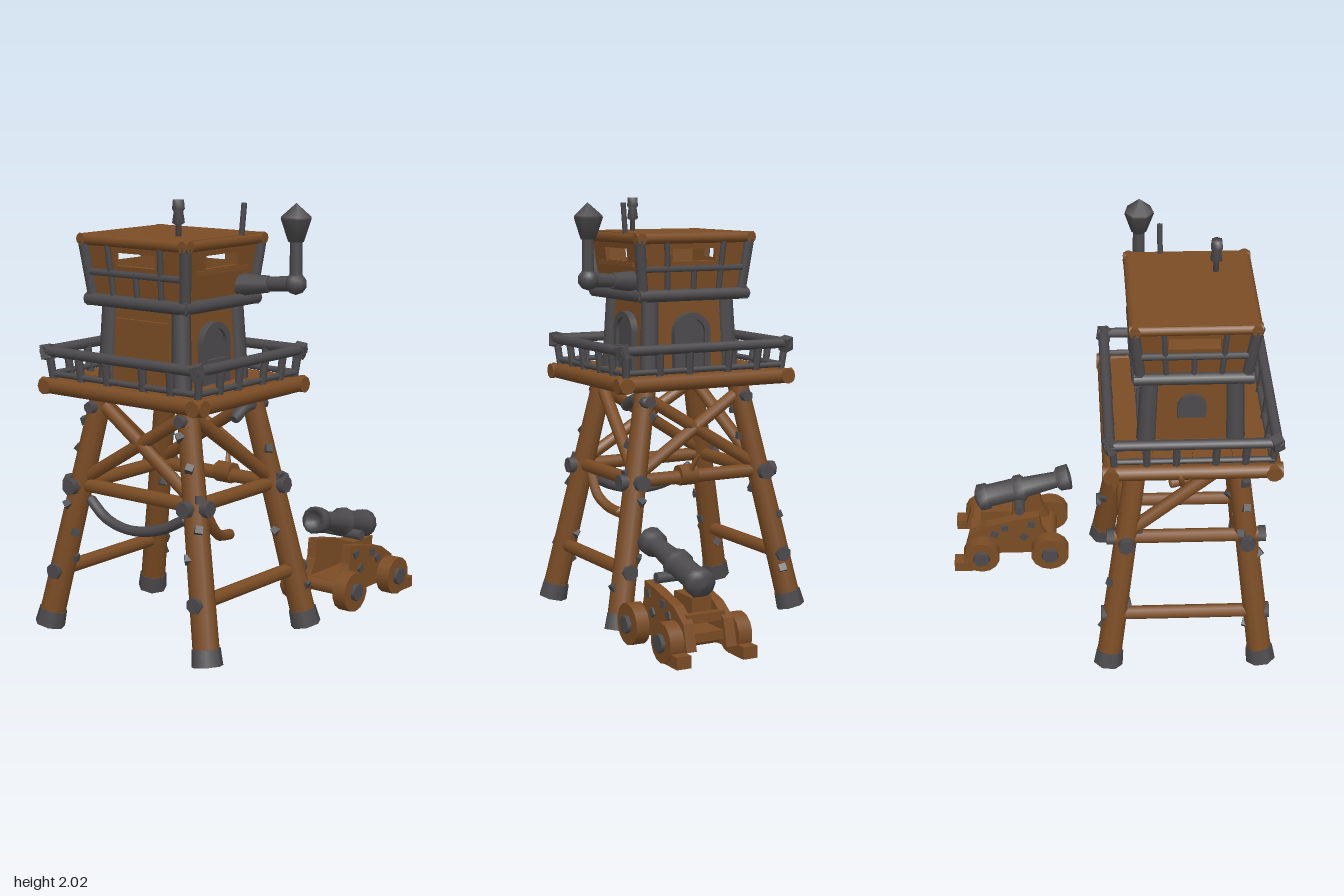
import * as THREE from 'three';

const wood = new THREE.MeshStandardMaterial({ color: 0x7a4c24 });
wood.name = 'brownWood';
const iron = new THREE.MeshStandardMaterial({ color: 0x4c4a4c });
iron.name = 'darkIron';

const V = (x, y, z) => new THREE.Vector3(x, y, z);
const UP = V(0, 1, 0);

function add(parent, name, geo, mat, x = 0, y = 0, z = 0) {
  const m = new THREE.Mesh(geo, mat);
  m.name = name;
  m.position.set(x, y, z);
  parent.add(m);
  return m;
}
const box = (parent, name, mat, w, h, d, x, y, z) => add(parent, name, new THREE.BoxGeometry(w, h, d), mat, x, y, z);

// Round bar from a to b
function beam(parent, name, mat, a, b, r0, r1 = r0, sides = 9) {
  const d = b.clone().sub(a);
  const m = add(parent, name, new THREE.CylinderGeometry(r1, r0, d.length(), sides), mat);
  m.position.copy(a).addScaledVector(d, 0.5);
  m.quaternion.setFromUnitVectors(UP, d.normalize());
  return m;
}
function tube(parent, name, mat, pts, r) {
  const c = new THREE.CatmullRomCurve3(pts.map(p => V(...p)));
  add(parent, name, new THREE.TubeGeometry(c, 14, r, 8), mat);
  const ends = [[0, -1], [1, 1]];
  for (const [t, s] of ends) {
    const p = c.getPoint(t), dir = c.getTangent(t).multiplyScalar(s * 0.01);
    beam(parent, name + 'End', mat, p, p.clone().add(dir), r, r * 0.7, 8);
  }
}
// Four groups facing +z, +x, -z, -x around a centre
function sides(parent, cx, cz, fn) {
  for (let i = 0; i < 4; i++) {
    const g = new THREE.Group();
    g.name = ['front', 'left', 'back', 'right'][i] + 'Side';
    g.position.set(cx, 0, cz);
    g.rotation.y = i * Math.PI / 2;
    parent.add(g);
    fn(g, i);
  }
}
// Leaning wall with an optional window [halfWidth, y0, y1]
function wall(parent, name, y0, y1, w0, w1, d0, d1, win) {
  const h = y1 - y0;
  const s = new THREE.Shape([[-w0, 0], [w0, 0], [w1, h], [-w1, h]].map(p => new THREE.Vector2(...p)));
  if (win) {
    const [w, a, b] = win;
    s.holes.push(new THREE.Path([[-w, a], [-w, b], [w, b], [w, a]].map(p => new THREE.Vector2(...p))));
  }
  const geo = new THREE.ExtrudeGeometry(s, { depth: 0.02, bevelEnabled: false }).translate(0, 0, -0.02);
  const m = add(parent, name, geo, wood, 0, y0, d0);
  m.rotation.x = Math.atan2(d1 - d0, h);
  return m;
}
function archShape(w, h) {
  const s = new THREE.Shape();
  s.moveTo(-w, 0).lineTo(w, 0).lineTo(w, h - w);
  s.absarc(0, h - w, w, 0, Math.PI, false);
  return s.lineTo(-w, 0);
}

function buildFrame(tower) {
  const leg = (sx, sz, y) => {
    const t = y / 1.12;
    return V(-0.355 + sx * (0.37 - 0.145 * t), y, -0.03 + sz * (0.475 - 0.225 * t));
  };
  let seed = 7;
  const rnd = () => (seed = (seed * 16807) % 2147483647) / 2147483647;
  for (const sx of [-1, 1]) for (const sz of [-1, 1]) {
    beam(tower, 'leg', wood, leg(sx, sz, 0.04), leg(sx, sz, 1.13), 0.06, 0.05, 10);
    beam(tower, 'foot', iron, leg(sx, sz, 0), leg(sx, sz, 0.075), 0.072, 0.066, 7);
    // iron studs on the legs
    for (let k = 0; k < 7; k++) {
      const p = leg(sx, sz, 0.2 + 0.13 * k), a = rnd() * 6.28;
      const b = box(tower, 'legStud', iron, 0.035, 0.035, 0.035, p.x + Math.cos(a) * 0.05, p.y, p.z + Math.sin(a) * 0.05);
      b.rotation.set(rnd(), -a, rnd());
    }
  }
  // Tie beam between two legs, running past them into iron caps
  const tie = (a, b, ext, r) => {
    const d = b.clone().sub(a).normalize();
    const a2 = a.clone().addScaledVector(d, -ext), b2 = b.clone().addScaledVector(d, ext);
    beam(tower, 'tieBeam', wood, a2, b2, r);
    for (const [p, s] of [[a2, 1], [b2, -1]])
      beam(tower, 'tieCap', iron, p.clone().addScaledVector(d, -s * 0.006), p.clone().addScaledVector(d, s * 0.03), r + 0.006, r + 0.006, 7);
  };
  for (const s of [-1, 1]) {
    tie(leg(-1, s, 0.68), leg(1, s, 0.68), 0.085, 0.033);
    tie(leg(s, -1, 0.68), leg(s, 1, 0.68), 0.08, 0.033);
    tie(leg(-1, s, 0.27), leg(1, s, 0.27), 0.06, 0.033);
    // crossed braces on the sides, one brace at front and back
    beam(tower, 'brace', wood, leg(s, 1, 1.07), leg(s, -1, 0.7), 0.03);
    beam(tower, 'brace', wood, leg(s, -1, 1.07), leg(s, 1, 0.7), 0.03);
    beam(tower, 'brace', wood, leg(-1, s, 1.08), leg(1, s, 0.7), 0.032);
    for (const q of [-1, 1]) {
      const p = leg(s, q, 1.05);
      beam(tower, 'braceBolt', iron, p.clone().add(V(-s * 0.02, 0, 0)), p.clone().add(V(s * 0.075, 0, 0)), 0.033, 0.028, 7);
    }
  }
  // Loose pieces: bent plank, hanging hose, bent strap, rope wrap, broken stub
  tube(tower, 'brokenBrace', wood, [[-0.57, 0.66, 0.3], [-0.5, 0.55, 0.3], [-0.43, 0.5, 0.28], [-0.33, 0.48, 0.26]], 0.025);
  tube(tower, 'hangingHose', iron, [[-0.66, 0.62, 0.27], [-0.67, 0.55, 0.13], [-0.67, 0.52, -0.05], [-0.66, 0.55, -0.2], [-0.65, 0.62, -0.3]], 0.024);
  tube(tower, 'bentStrap', iron, [[-0.28, 1.01, 0.25], [-0.2, 1.05, 0.25], [-0.06, 1.05, 0.25]], 0.027);
  beam(tower, 'beamWrap', wood, V(-0.07, 0.69, 0.08), V(-0.07, 0.69, -0.01), 0.05);
  beam(tower, 'brokenPeg', wood, V(-0.05, 0.7, 0.03), V(-0.01, 0.79, 0.0), 0.018, 0.008, 6);
  tube(tower, 'brokenStub', wood, [[-0.3, 1.15, -0.46], [-0.31, 1.14, -0.5], [-0.32, 1.08, -0.48]], 0.014);
}

function buildPlatform(tower) {
  box(tower, 'deck', wood, 0.76, 0.05, 0.89, -0.365, 1.14, -0.035);
  for (let i = 0; i < 4; i++) box(tower, 'deckPlank', wood, 0.17, 0.012, 0.86, -0.635 + i * 0.18, 1.168, -0.035);
  sides(tower, -0.365, -0.035, (g, i) => {
    const d = i % 2 ? 0.365 : 0.435, w = i % 2 ? 0.435 : 0.365;
    beam(g, 'deckEdge', wood, V(-w - 0.04, 1.145, d), V(w + 0.04, 1.145, d), 0.037);
    beam(g, 'topRail', iron, V(-w - 0.03, 1.305, d + 0.008), V(w + 0.03, 1.305, d + 0.008), 0.024);
    beam(g, 'lowRail', iron, V(-w, 1.2, d - 0.01), V(w, 1.2, d - 0.01), 0.014);
    for (const t of [-0.96, -0.56, -0.2, 0.28, 0.64])
      beam(g, 'railPost', iron, V(w * t, 1.17, d - 0.01), V(w * t * 1.03, 1.31, d + 0.006), 0.018, 0.02, 6);
    const knob = box(g, 'railCorner', iron, 0.05, 0.065, 0.05, w + 0.005, 1.3, d + 0.005);
    knob.rotation.set(0.2, 0.4, 0.15);
  });
}

function buildCabin(tower) {
  const cx = -0.37, cz = -0.035;
  // lower room
  sides(tower, cx, cz, (g, i) => {
    const d = i % 2 ? 0.215 : 0.23, w = i % 2 ? 0.23 : 0.215;
    wall(g, 'lowerWall', 1.16, 1.54, w, w - 0.015, d, d - 0.015);
    beam(g, 'cornerPost', iron, V(w - 0.012, 1.16, d - 0.012), V(w - 0.027, 1.53, d - 0.027), 0.046, 0.042, 8);
    if (i === 3) {
      box(g, 'sidePanel', wood, 0.3, 0.27, 0.02, 0, 1.33, d);
      return;
    }
    const h = i === 2 ? 0.12 : 0.26, y = i === 2 ? 1.3 : 1.18, aw = i === 2 ? 0.065 : 0.08;
    add(g, 'archPanel', new THREE.ExtrudeGeometry(archShape(aw, h), { depth: 0.03, bevelEnabled: false }), iron, 0, y, d - 0.02);
    if (i === 2) return;
    const rim = archShape(aw + 0.018, h + 0.018);
    rim.holes.push(archShape(aw - 0.012, h - 0.012));
    add(g, 'archRim', new THREE.ExtrudeGeometry(rim, { depth: 0.045, bevelEnabled: false }), iron, 0, y, d - 0.02);
    box(g, 'archLedge', iron, 0.15, 0.025, 0.04, 0, y + 0.1, d + 0.01);
  });
  // flared upper room
  box(tower, 'upperFloor', wood, 0.47, 0.03, 0.53, cx, 1.54, cz);
  sides(tower, cx, cz, (g, i) => {
    const d = i % 2 ? 0.235 : 0.265, w = i % 2 ? 0.265 : 0.235;
    wall(g, 'upperWall', 1.54, 1.82, w, w + 0.03, d, d + 0.03, [0.115, 0.165, 0.225]);
    beam(g, 'lowerRingBeam', iron, V(-w - 0.03, 1.545, d + 0.012), V(w + 0.03, 1.545, d + 0.012), 0.029);
    beam(g, 'roofEdge', wood, V(-w - 0.055, 1.815, d + 0.03), V(w + 0.055, 1.815, d + 0.03), 0.026);
    beam(g, 'flaredPost', iron, V(w, 1.54, d), V(w + 0.032, 1.81, d + 0.032), 0.026);
    if (i === 0) {
      box(g, 'plank', wood, 0.36, 0.02, 0.03, 0, 1.69, d + 0.01);
      return;
    }
    // iron lattice
    for (const t of [-0.52, 0, 0.52])
      beam(g, 'latticeBar', iron, V(w * t, 1.55, d + 0.008), V(w * t * 1.12, t ? 1.81 : 1.68, d + (t ? 0.036 : 0.022)), 0.014, 0.014, 6);
    beam(g, 'latticeRail', iron, V(-w, 1.67, d + 0.022), V(w, 1.67, d + 0.022), 0.016, 0.016, 6);
  });
  box(tower, 'roof', wood, 0.54, 0.03, 0.61, cx, 1.825, cz);
  // roof fittings
  beam(tower, 'antenna', iron, V(-0.25, 1.8, 0.26), V(-0.245, 1.98, 0.275), 0.014, 0.014, 6);
  const lamp = [[0, 0], [0.014, 0], [0.014, 0.05], [0.03, 0.06], [0.022, 0.11], [0.03, 0.12], [0.026, 0.16], [0, 0.16]];
  add(tower, 'roofLamp', new THREE.LatheGeometry(lamp.map(p => new THREE.Vector2(...p)), 6), iron, -0.49, 1.84, 0.1);
  // crooked pipe with a pointed cowl
  beam(tower, 'pipeBase', iron, V(-0.225, 1.61, 0.2), V(-0.185, 1.62, 0.37), 0.056, 0.038, 8);
  beam(tower, 'pipeArm', iron, V(-0.185, 1.62, 0.36), V(-0.165, 1.63, 0.5), 0.032, 0.036, 8);
  add(tower, 'pipeElbow', new THREE.IcosahedronGeometry(0.05, 1), iron, -0.163, 1.63, 0.5);
  beam(tower, 'pipe', iron, V(-0.163, 1.63, 0.5), V(-0.163, 1.84, 0.5), 0.03, 0.027, 8);
  const cowl = [[0, 0], [0.036, 0], [0.07, 0.1], [0.068, 0.11], [0, 0.17]];
  add(tower, 'pipeCowl', new THREE.LatheGeometry(cowl.map(p => new THREE.Vector2(...p)), 7), iron, -0.163, 1.815, 0.5);
}

function buildCannon(cannon) {
  const cz = 0.35;
  // barrel, breech at the origin, muzzle along +y
  const prof = [[0, -0.01], [0.04, 0], [0.068, 0.015], [0.068, 0.06], [0.058, 0.065], [0.058, 0.2], [0.07, 0.21], [0.07, 0.245],
    [0.052, 0.26], [0.042, 0.42], [0.062, 0.435], [0.066, 0.49], [0.04, 0.495], [0.032, 0.45], [0, 0.45]];
  const barrel = add(cannon, 'barrel', new THREE.LatheGeometry(prof.map(p => new THREE.Vector2(...p)), 12), iron, 0.66, 0.335, cz);
  barrel.quaternion.setFromUnitVectors(UP, V(-0.46, 0.115, 0.015).normalize());
  beam(cannon, 'trunnion', iron, V(0.44, 0.34, cz - 0.12), V(0.44, 0.34, cz + 0.12), 0.025);
  // carriage
  const cheek = new THREE.Shape([[0.26, 0.07], [0.33, 0.22], [0.34, 0.31], [0.45, 0.29], [0.61, 0.25], [0.7, 0.19], [0.73, 0.07]].map(p => new THREE.Vector2(...p)));
  for (const s of [-1, 1]) {
    add(cannon, 'carriageCheek', new THREE.ExtrudeGeometry(cheek, { depth: 0.05, bevelEnabled: false }), wood, 0, 0, cz + s * 0.1 - 0.025);
    for (const [x, y] of [[0.38, 0.26], [0.42, 0.18], [0.52, 0.24], [0.57, 0.2]])
      box(cannon, 'cheekBolt', iron, 0.035, 0.035, 0.012, x, y, cz + s * 0.128).rotation.z = x * 9;
    for (const [x, r, off] of [[0.29, 0.097, 0.155], [0.64, 0.092, 0.17]]) {
      const z = cz + s * off;
      beam(cannon, 'wheel', wood, V(x, 0.105, z - 0.034), V(x, 0.105, z + 0.034), r, r, 14);
      beam(cannon, 'wheelHub', iron, V(x, 0.105, z), V(x, 0.105, z + s * 0.052), 0.05, 0.042, 7);
    }
    box(cannon, 'wheelChock', wood, 0.11, 0.055, 0.07, 0.725, 0.045, cz + s * 0.165);
  }
  for (const x of [0.29, 0.64]) beam(cannon, 'axle', wood, V(x, 0.105, cz - 0.16), V(x, 0.105, cz + 0.16), 0.035);
  box(cannon, 'carriageBed', wood, 0.42, 0.04, 0.18, 0.49, 0.12, cz);
  box(cannon, 'crossBar', wood, 0.04, 0.04, 0.19, 0.66, 0.2, cz);
  box(cannon, 'barrelWedge', wood, 0.16, 0.07, 0.1, 0.56, 0.25, cz);
}

export function createModel() {
  const model = new THREE.Group();
  model.name = 'watchtowerWithCannon';
  const parts = { tower: [buildFrame, buildPlatform, buildCabin], cannon: [buildCannon] };
  for (const [name, builders] of Object.entries(parts)) {
    const g = new THREE.Group();
    g.name = name;
    builders.forEach(b => b(g));
    model.add(g);
  }
  return model;
}
